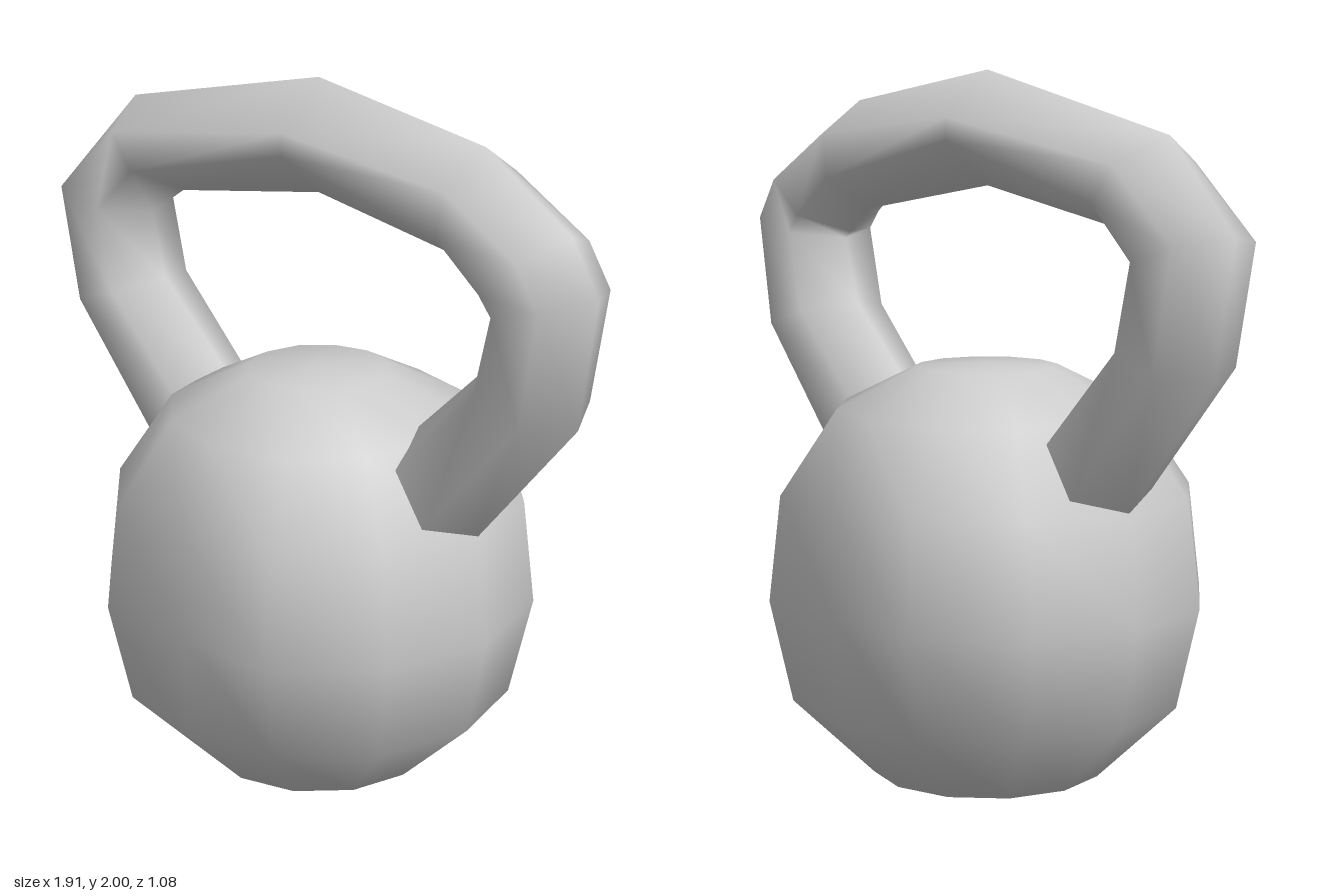
import * as THREE from 'three';
import { mergeVertices } from 'three/addons/utils/BufferGeometryUtils.js';

const material = new THREE.MeshStandardMaterial({ color: 0xcccccc });

// Faceted ball with a flat base and flattened front and back
function createBody() {
  const profile = [
    [0, 0], [0.33, 0.01], [0.56, 0.23], [0.625, 0.52],
    [0.59, 0.82], [0.43, 1.06], [0.2, 1.175], [0, 1.185],
  ].map(([r, y]) => new THREE.Vector2(r, y));
  let geometry = new THREE.LatheGeometry(profile, 12);
  const position = geometry.attributes.position;
  for (let i = 0; i < position.count; i++) {
    position.setZ(i, THREE.MathUtils.clamp(position.getZ(i), -0.54, 0.54));
  }
  // Weld the seam so the shading runs smoothly around
  geometry.deleteAttribute('uv');
  geometry.deleteAttribute('normal');
  geometry = mergeVertices(geometry, 1e-4);
  geometry.computeVertexNormals();
  const mesh = new THREE.Mesh(geometry, material);
  mesh.name = 'body';
  return mesh;
}

// Six-sided bar bent into a loop, with both ends sunk into the body
function createHandle() {
  // outer x, y, inner x, y, share of the half-width held by the side corners
  const rings = [
    [-0.40, 0.61, -0.19, 0.86, 0.5],
    [-0.58, 0.83, -0.37, 1.08, 0.5],
    [-0.89, 1.21, -0.61, 1.31, 0.5],
    [-0.96, 1.59, -0.66, 1.50, 0.5],
    [-0.72, 1.84, -0.53, 1.59, 0.4],
    [0, 2.00, 0, 1.68, 0.2],
    [0.58, 1.905, 0.53, 1.59, 0.4],
    [0.865, 1.72, 0.63, 1.515, 0.5],
    [0.955, 1.57, 0.655, 1.495, 0.5],
    [0.905, 1.21, 0.60, 1.31, 0.5],
    [0.58, 0.82, 0.37, 1.09, 0.5],
    [0.40, 0.61, 0.19, 0.86, 0.5],
  ];
  const halfDepth = 0.152;
  const positions = [];
  const indices = [];
  rings.forEach(([ox, oy, ix, iy, share], i) => {
    const section = [[1, 0], [share, 1], [-share, 1], [-1, 0], [-share, -1], [share, -1]];
    section.forEach(([out, side], j) => {
      const t = (1 - out) / 2;
      positions.push(ox + (ix - ox) * t, oy + (iy - oy) * t, side * halfDepth);
      if (i === rings.length - 1) return;
      const a = i * 6 + j;
      const b = i * 6 + (j + 1) % 6;
      indices.push(a, b, a + 6, b, b + 6, a + 6);
    });
  });
  const geometry = new THREE.BufferGeometry();
  geometry.setAttribute('position', new THREE.Float32BufferAttribute(positions, 3));
  geometry.setIndex(indices);
  geometry.computeVertexNormals();
  const mesh = new THREE.Mesh(geometry, material);
  mesh.name = 'handle';
  return mesh;
}

export function createModel() {
  const group = new THREE.Group();
  group.name = 'kettlebell';
  group.add(createBody(), createHandle());
  return group;
}
